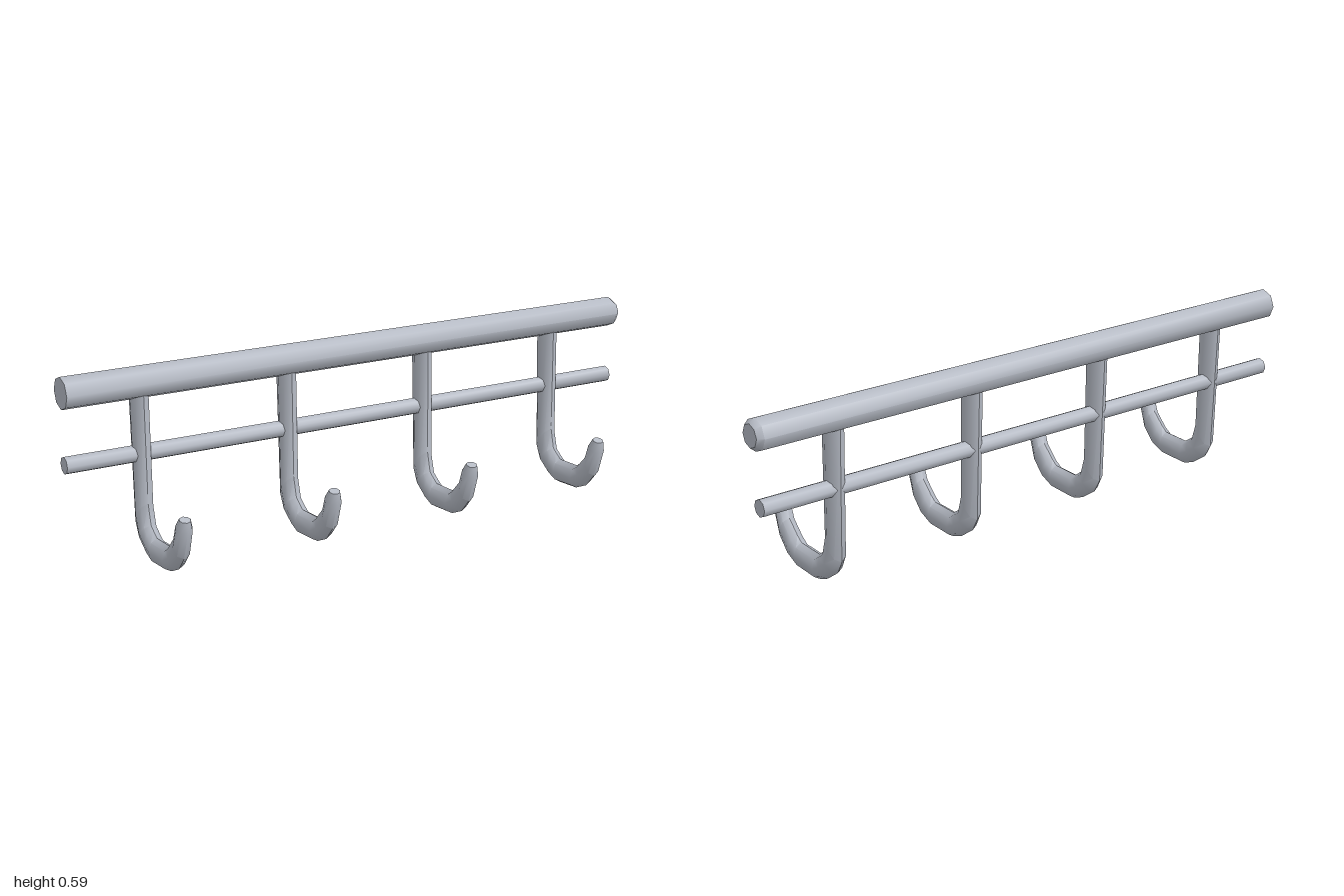
import * as THREE from 'three';
import { toCreasedNormals } from 'three/addons/utils/BufferGeometryUtils.js';

const SIDES = 8;
const CREASE = 0.87;

// Bar along x, turned from a profile of [x, radius] points
function barGeometry(profile) {
  const points = profile.map(([x, r]) => new THREE.Vector2(r, x));
  const geometry = new THREE.LatheGeometry(points, SIDES);
  geometry.rotateZ(-Math.PI / 2);
  return toCreasedNormals(geometry, CREASE);
}

// J-shaped hook lofted through elliptical sections: [outer z, y, inner z, y, half width]
function hookGeometry() {
  const sections = [
    [-0.167, 0.507, -0.093, 0.507, 0.029],
    [-0.153, 0.095, -0.091, 0.172, 0.029],
    [-0.13, 0.053, -0.075, 0.108, 0.029],
    [-0.075, 0.015, -0.06, 0.097, 0.029],
    [-0.035, 0.0, -0.035, 0.08, 0.029],
    [0.058, 0.006, 0.06, 0.084, 0.029],
    [0.113, 0.03, 0.08, 0.1, 0.029],
    [0.152, 0.075, 0.122, 0.143, 0.029],
    [0.182, 0.16, 0.134, 0.182, 0.027],
    [0.183, 0.195, 0.15, 0.205, 0.018],
  ];
  const positions = [];
  const index = [];
  for (const [oz, oy, iz, iy, w] of sections) {
    for (let j = 0; j < SIDES; j++) {
      const t = (j / SIDES) * Math.PI * 2;
      const k = (1 + Math.cos(t)) / 2;
      positions.push(w * Math.sin(t), iy + (oy - iy) * k, iz + (oz - iz) * k);
    }
  }
  const last = sections.length - 1;
  for (let i = 0; i < last; i++) {
    for (let j = 0; j < SIDES; j++) {
      const a = i * SIDES + j;
      const b = i * SIDES + ((j + 1) % SIDES);
      index.push(a, b, b + SIDES, a, b + SIDES, a + SIDES);
    }
  }
  // End caps
  for (let j = 1; j < SIDES - 1; j++) {
    const e = last * SIDES;
    index.push(0, j + 1, j, e, e + j, e + j + 1);
  }
  const geometry = new THREE.BufferGeometry();
  geometry.setAttribute('position', new THREE.Float32BufferAttribute(positions, 3));
  geometry.setIndex(index);
  return toCreasedNormals(geometry, CREASE);
}

export function createModel() {
  const group = new THREE.Group();
  group.name = 'hookRack';
  const metal = new THREE.MeshStandardMaterial({ color: 0xb6bbc5 });
  metal.name = 'greyMetal';

  const add = (name, geometry, x, y, z) => {
    const mesh = new THREE.Mesh(geometry, metal);
    mesh.name = name;
    mesh.position.set(x, y, z);
    group.add(mesh);
  };

  // Thick top rail, bevelled at its left end only
  add('topRail', barGeometry([[-1, 0], [-1, 0.05], [0.982, 0.05], [1, 0.036], [1, 0]]), 0, 0.541, -0.13);

  // Thin rod running through the hooks
  add('lowerRod', barGeometry([[-1, 0], [-1, 0.027], [0.98, 0.027], [0.98, 0]]), 0, 0.322, -0.13);

  // Four evenly spaced hooks
  const hook = hookGeometry();
  for (let i = 0; i < 4; i++) add(`hook${i + 1}`, hook, -0.756 + i * 0.495, 0, 0);

  return group;
}
